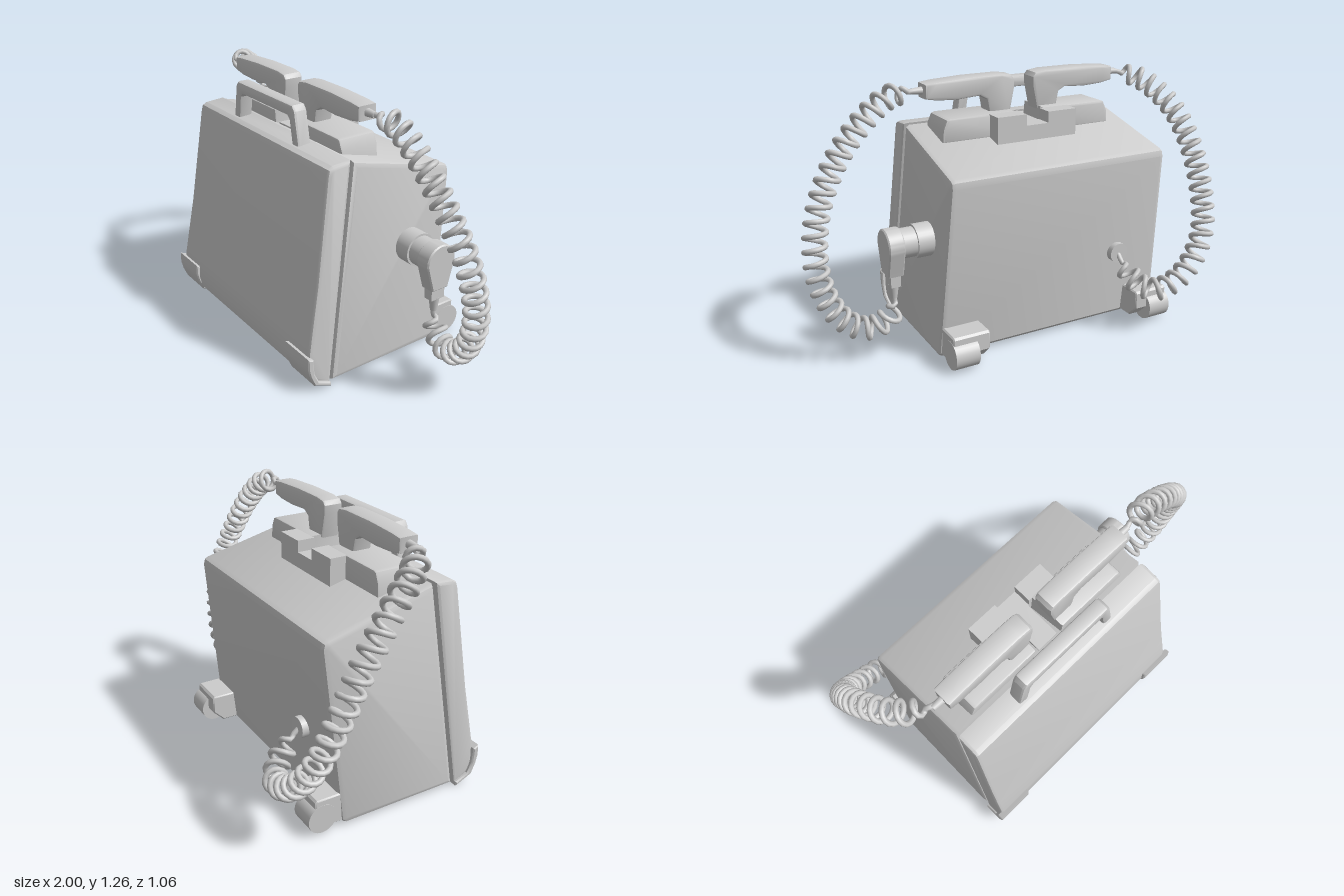
import * as THREE from 'three';
import { toCreasedNormals } from 'three/addons/utils/BufferGeometryUtils.js';

const MID = -0.16; // centre line of the case
const material = new THREE.MeshStandardMaterial({ color: 0xcccccc });

function add(parent, name, geometry, x = 0, y = 0, z = 0) {
  const mesh = new THREE.Mesh(geometry, material);
  mesh.name = name;
  mesh.position.set(x, y, z);
  parent.add(mesh);
  return mesh;
}

// Extrudes an outline, bevelled inside its own size and centred on the depth
function extrude(points, depth, bevel = 0.01, segments = 2) {
  const shape = points instanceof THREE.Shape
    ? points : new THREE.Shape(points.map(p => new THREE.Vector2(...p)));
  const geometry = new THREE.ExtrudeGeometry(shape, {
    depth: depth - 2 * bevel, bevelEnabled: bevel > 0, bevelThickness: bevel,
    bevelSize: bevel, bevelOffset: -bevel, bevelSegments: segments, curveSegments: 16,
  });
  geometry.translate(0, 0, bevel - depth / 2);
  return toCreasedNormals(geometry, 0.55);
}

// Extrudes a [z, y] side profile across x
const sideExtrude = (points, width, bevel, segments) =>
  extrude(points, width, bevel, segments).rotateY(-Math.PI / 2);

// Narrows a case part towards the top
function taper(geometry) {
  const p = geometry.attributes.position;
  for (let i = 0; i < p.count; i++) p.setX(i, p.getX(i) * (1 - 0.082 * p.getY(i)));
  return toCreasedNormals(geometry, 0.55);
}

// Winds a cord around a path, with straight ends
function coil(points, turns, radius, thickness) {
  const path = new THREE.CatmullRomCurve3(points.map(p => new THREE.Vector3(...p)));
  const steps = turns * 14;
  const frames = path.computeFrenetFrames(steps);
  const line = [];
  for (let i = 0; i <= steps; i++) {
    const t = i / steps, a = t * turns * Math.PI * 2;
    const r = radius * THREE.MathUtils.smoothstep(Math.min(t, 1 - t), 0.025, 0.07);
    line.push(path.getPointAt(t)
      .addScaledVector(frames.normals[i], r * Math.cos(a))
      .addScaledVector(frames.binormals[i], r * Math.sin(a)));
  }
  return new THREE.TubeGeometry(new THREE.CatmullRomCurve3(line), steps, thickness, 8);
}

export function createModel() {
  const model = new THREE.Group();
  model.name = 'portableDefibrillator';

  // Case: rear housing and front shell, with a thin slanted gap between them
  add(model, 'rearHousing', taper(sideExtrude([
    [0.397, 0.015], [0.243, 1.028], [-0.275, 0.9], [-0.295, 0.888], [-0.302, 0.86],
    [-0.215, 0.035], [-0.195, 0.015],
  ], 1.23, 0.025)), MID);
  add(model, 'frontShell', taper(sideExtrude([
    [0.407, 0.008], [0.47, 0.03], [0.505, 0.06], [0.517, 0.12], [0.51, 0.2], [0.485, 0.33],
    [0.452, 0.5], [0.375, 0.99], [0.367, 1.016], [0.345, 1.028], [0.253, 1.035],
  ], 1.23, 0.018)), MID);

  // Carry handle
  const handle = new THREE.Shape();
  [[-0.285, 1.0], [-0.253, 1.18], [-0.235, 1.205], [0.235, 1.205], [0.253, 1.18], [0.285, 1.0],
    [0.233, 1.0], [0.21, 1.135], [0.195, 1.15], [-0.195, 1.15], [-0.21, 1.135], [-0.233, 1.0]]
    .reverse().forEach(([x, y], i) => (i ? handle.lineTo(x, y) : handle.moveTo(x, y)));
  add(model, 'carryHandle', extrude(handle, 0.07, 0.012), MID, 0, 0.3);

  // Holder for the paddles: a notched block with a tongue running forward
  add(model, 'paddleHolder', extrude([
    [-0.215, 0.93], [0.215, 0.93], [0.215, 1.085], [0.06, 1.085], [0.06, 1.03],
    [-0.06, 1.03], [-0.06, 1.085], [-0.215, 1.085],
  ], 0.09, 0), MID, 0, -0.002);
  add(model, 'holderTongue', new THREE.BoxGeometry(0.11, 0.09, 0.2), MID, 0.985, 0.12);

  for (const s of [-1, 1]) {
    const flip = points => points.map(([x, y]) => [s * x, y]);

    // Paddle: grip with a neck at the inner end, standing on a plate
    const paddle = new THREE.Group();
    paddle.name = s > 0 ? 'leftPaddle' : 'rightPaddle';
    paddle.position.set(MID, 0, 0.135);
    model.add(paddle);
    add(paddle, 'grip', extrude(flip([
      [0.515, 1.175], [0.515, 1.243], [0.46, 1.25], [0.3, 1.258], [0.12, 1.258], [0.065, 1.25],
      [0.05, 1.23], [0.05, 1.19], [0.075, 1.07], [0.185, 1.07], [0.2, 1.145], [0.235, 1.165],
      [0.35, 1.158], [0.45, 1.163],
    ]), 0.098, 0.012));
    add(paddle, 'plate', extrude(flip([
      [0.07, 0.97], [0.46, 0.97], [0.455, 1.035], [0.435, 1.08], [0.42, 1.086], [0.08, 1.086],
    ]), 0.195, 0.01), 0, 0, -0.005);
    const relief = add(paddle, 'strainRelief',
      new THREE.CylinderGeometry(0.014, 0.02, 0.06, 12), s * 0.535, 1.21, 0);
    relief.rotation.z = -s * Math.PI / 2;

    // Front corner guard, bent around the lower edge
    add(model, 'cornerGuard', sideExtrude([
      [0.41, 0], [0.5, 0.038], [0.522, 0.09], [0.532, 0.135], [0.53, 0.187],
      [0.502, 0.175], [0.498, 0.1], [0.475, 0.05], [0.41, 0.02],
    ], 0.195, 0.006, 1), MID + s * 0.529);

    // Rear wheel and its block
    add(model, 'wheelBlock', sideExtrude([
      [-0.2, 0.03], [-0.29, 0.03], [-0.345, 0.085], [-0.345, 0.165], [-0.335, 0.175], [-0.2, 0.175],
    ], 0.185, 0.006, 1), MID + s * 0.507);
    add(model, 'wheel', new THREE.CylinderGeometry(0.07, 0.07, 0.12, 32).rotateZ(Math.PI / 2),
      MID + s * 0.541, 0.077, -0.309);
  }

  // Side connector: stepped socket, teardrop plug and cord neck
  const plug = new THREE.Group();
  plug.name = 'sideConnector';
  plug.position.set(0, 0.563, -0.06);
  model.add(plug);
  [[0.4, 0.505, 0.08], [0.5, 0.58, 0.07]].forEach(([a, b, r], i) =>
    add(plug, i ? 'plugCollar' : 'socketRing',
      new THREE.CylinderGeometry(r, r, b - a, 32).rotateZ(Math.PI / 2), (a + b) / 2));
  const head = new THREE.Shape();
  head.absarc(0, 0, 0.081, -0.35, Math.PI + 0.35);
  head.lineTo(-0.045, -0.14);
  head.lineTo(0.045, -0.14);
  add(plug, 'plugHead', sideExtrude(head, 0.077, 0.006, 1), 0.608);
  add(plug, 'plugNeck', new THREE.BoxGeometry(0.048, 0.06, 0.075), 0.608, -0.165);
  add(plug, 'plugStrainRelief', new THREE.CylinderGeometry(0.026, 0.016, 0.07, 16), 0.608, -0.225);

  // Rear jack
  add(model, 'rearJack', new THREE.CylinderGeometry(0.05, 0.05, 0.06, 24).rotateX(Math.PI / 2),
    -0.5, 0.385, -0.255);

  // Coiled cords
  add(model, 'leftCord', coil([
    [0.608, 0.33, -0.06], [0.61, 0.25, -0.06], [0.66, 0.185, -0.05], [0.74, 0.165, -0.035],
    [0.83, 0.215, -0.025], [0.9, 0.32, -0.01], [0.937, 0.48, 0.01], [0.91, 0.7, 0.05],
    [0.82, 0.9, 0.09], [0.68, 1.08, 0.11], [0.53, 1.195, 0.12], [0.44, 1.21, 0.13],
    [0.37, 1.21, 0.135],
  ], 27, 0.048, 0.0125), 0, 0, 0);
  add(model, 'rightCord', coil([
    [-0.69, 1.21, 0.135], [-0.76, 1.205, 0.11], [-0.84, 1.165, 0.03], [-0.91, 1.05, -0.12],
    [-0.937, 0.88, -0.25], [-0.937, 0.68, -0.35], [-0.9, 0.48, -0.425], [-0.81, 0.34, -0.46],
    [-0.7, 0.26, -0.467], [-0.6, 0.235, -0.45], [-0.535, 0.26, -0.4], [-0.5, 0.33, -0.33],
    [-0.5, 0.385, -0.27],
  ], 27, 0.048, 0.0125), 0, 0, 0);

  return model;
}
